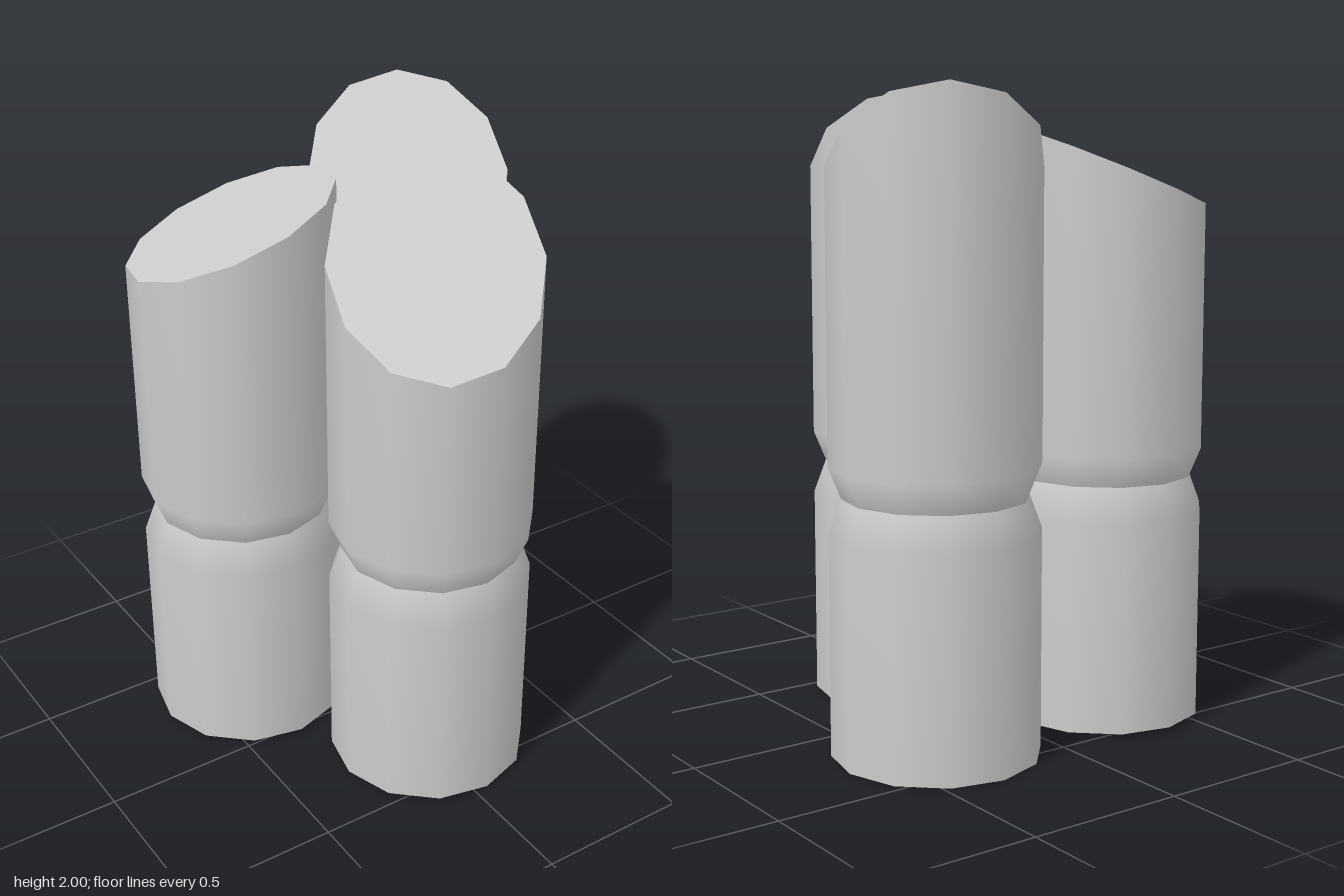
import * as THREE from 'three';

const SIDES = 12, TURN = 0.043, R = 0.322, PINCH = 0.283;
const material = new THREE.MeshStandardMaterial({ color: 0xcccccc });

// Side wall of one stalk section, smooth around its 12 sides
function wall(profile) {
  const points = profile.map(([r, y]) => new THREE.Vector2(r, y));
  return new THREE.LatheGeometry(points, SIDES, TURN);
}

// Lift every vertex above the joint area onto the slanted cut
function slantTop(geometry, { height, slopeX, slopeZ }) {
  const p = geometry.attributes.position;
  for (let i = 0; i < p.count; i++) {
    if (p.getY(i) > 1) p.setY(i, height + slopeX * p.getX(i) + slopeZ * p.getZ(i));
  }
  return geometry;
}

function addPart(group, name, geometry) {
  const mesh = new THREE.Mesh(geometry, material);
  mesh.name = name;
  group.add(mesh);
}

function createStalk(name, x, z, base, cut) {
  const stalk = new THREE.Group();
  stalk.name = name;
  stalk.position.set(x, 0, z);

  // Two sections that narrow to a crisp ring at the joint
  addPart(stalk, 'lowerSection', wall([[R, base], [R, 0.685], [PINCH, 0.79]]));
  addPart(stalk, 'upperSection', slantTop(wall([[PINCH, 0.79], [R, 0.885], [R, 2]]), cut));

  // Slanted cut face
  const top = new THREE.CircleGeometry(R, SIDES, TURN).rotateX(-Math.PI / 2).translate(0, 2, 0);
  slantTop(top, cut).computeVertexNormals();
  addPart(stalk, 'cutFace', top);

  // Flat underside
  const bottom = new THREE.CircleGeometry(R, SIDES, -TURN).rotateX(Math.PI / 2).translate(0, base, 0);
  addPart(stalk, 'underside', bottom);
  return stalk;
}

export function createModel() {
  const model = new THREE.Group();
  model.name = 'bambooStalks';
  model.add(
    createStalk('frontStalk', 0.026, 0.29, 0.01, { height: 1.757, slopeX: 0.346, slopeZ: -0.664 }),
    createStalk('backLeftStalk', 0.33, -0.296, 0, { height: 1.765, slopeX: 0.345, slopeZ: -0.65 }),
    createStalk('backRightStalk', -0.333, -0.277, 0.02, { height: 1.76, slopeX: 0.348, slopeZ: 0.19 }),
  );
  return model;
}
